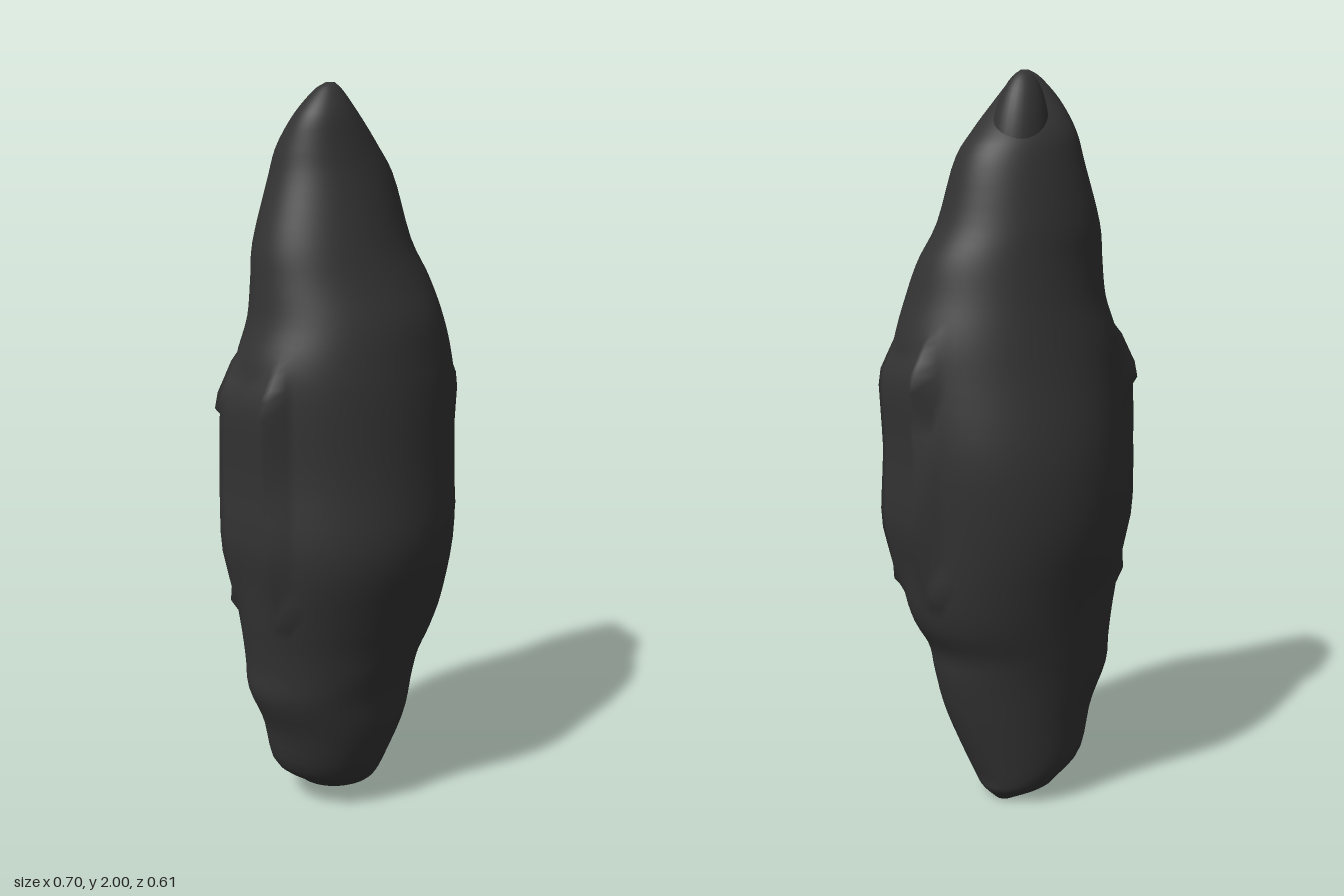
import * as THREE from 'three';

// Cross-sections from bottom to top: y, xMin, xMax, zMin, zMax
const SECTIONS = [
  [0.00, 0.03, 0.08, -0.09, -0.04],
  [0.03, -0.08, 0.11, -0.14, 0.04],
  [0.06, -0.12, 0.12, -0.165, 0.09],
  [0.12, -0.195, 0.145, -0.185, 0.13],
  [0.25, -0.235, 0.195, -0.20, 0.175],
  [0.36, -0.285, 0.225, -0.215, 0.19],
  [0.44, -0.29, 0.24, -0.23, 0.21],
  [0.52, -0.30, 0.285, -0.245, 0.23],
  [0.62, -0.315, 0.31, -0.265, 0.26],
  [0.80, -0.335, 0.32, -0.30, 0.305],
  [1.00, -0.325, 0.33, -0.30, 0.29],
  [1.20, -0.325, 0.33, -0.26, 0.275],
  [1.30, -0.315, 0.32, -0.24, 0.26],
  [1.40, -0.28, 0.29, -0.22, 0.24],
  [1.50, -0.265, 0.26, -0.205, 0.20],
  [1.60, -0.25, 0.21, -0.195, 0.165],
  [1.76, -0.20, 0.165, -0.165, 0.12],
  [1.84, -0.18, 0.11, -0.135, 0.10],
  [1.92, -0.15, 0.035, -0.07, 0.08],
  [1.98, -0.10, -0.02, -0.02, 0.05],
  [2.00, -0.07, -0.045, 0.01, 0.03],
];

// Reach of the blunt ridge on each flank at height y
const RIDGE = [[0.6, 0.30], [0.8, 0.345], [1.0, 0.34], [1.2, 0.35], [1.3, 0.30]];
function ridgeAt(y) {
  for (let i = 1; i < RIDGE.length; i++) {
    const [y0, r0] = RIDGE[i - 1], [y1, r1] = RIDGE[i];
    if (y >= y0 && y <= y1) return r0 + (r1 - r0) * (y - y0) / (y1 - y0);
  }
  return 0;
}

function bodyGeometry(rows = 72, sides = 72) {
  const spline = (a, b) => new THREE.CatmullRomCurve3(
    SECTIONS.map(s => new THREE.Vector3(s[a], s[0], s[b])), false, 'catmullrom', 0.5);
  const widths = spline(1, 2), depths = spline(3, 4);
  const pos = [], index = [];
  for (let j = 0; j <= rows; j++) {
    const w = widths.getPoint(j / rows), d = depths.getPoint(j / rows);
    const y = THREE.MathUtils.clamp(w.y, 0, 2);
    const ridge = ridgeAt(y);
    for (let i = 0; i < sides; i++) {
      const a = i / sides * Math.PI * 2;
      let x = (w.x + w.z) / 2 + (w.z - w.x) / 2 * Math.cos(a);
      const z = (d.x + d.z) / 2 + (d.z - d.x) / 2 * Math.sin(a);
      if (Math.abs(z) < 0.115) x = Math.sign(x) * Math.max(Math.abs(x), Math.abs(x) > 0.2 ? ridge : 0);
      pos.push(x, y, z);
    }
  }
  for (let j = 0; j < rows; j++) {
    for (let i = 0; i < sides; i++) {
      const a = j * sides + i, b = j * sides + (i + 1) % sides;
      index.push(a, a + sides, b, b, a + sides, b + sides);
    }
  }
  // End caps
  const last = rows * sides;
  for (let i = 1; i < sides - 1; i++) {
    index.push(0, i, i + 1, last, last + i + 1, last + i);
  }
  const geo = new THREE.BufferGeometry();
  geo.setAttribute('position', new THREE.Float32BufferAttribute(pos, 3));
  geo.setIndex(index);
  geo.computeVertexNormals();
  return geo;
}

export function createModel() {
  const group = new THREE.Group();
  const charcoal = new THREE.MeshStandardMaterial({ color: 0x333333 });
  charcoal.name = 'charcoal';

  const body = new THREE.Mesh(bodyGeometry(), charcoal);
  body.name = 'body';
  group.add(body);

  // Second rounded tip behind the main one, leaving a cleft between them
  const lobe = new THREE.Mesh(new THREE.SphereGeometry(1, 32, 24), charcoal);
  lobe.name = 'rearTip';
  lobe.scale.set(0.085, 0.24, 0.075);
  lobe.position.set(0.015, 1.75, -0.07);
  lobe.rotation.z = 0.08;
  group.add(lobe);

  return group;
}
